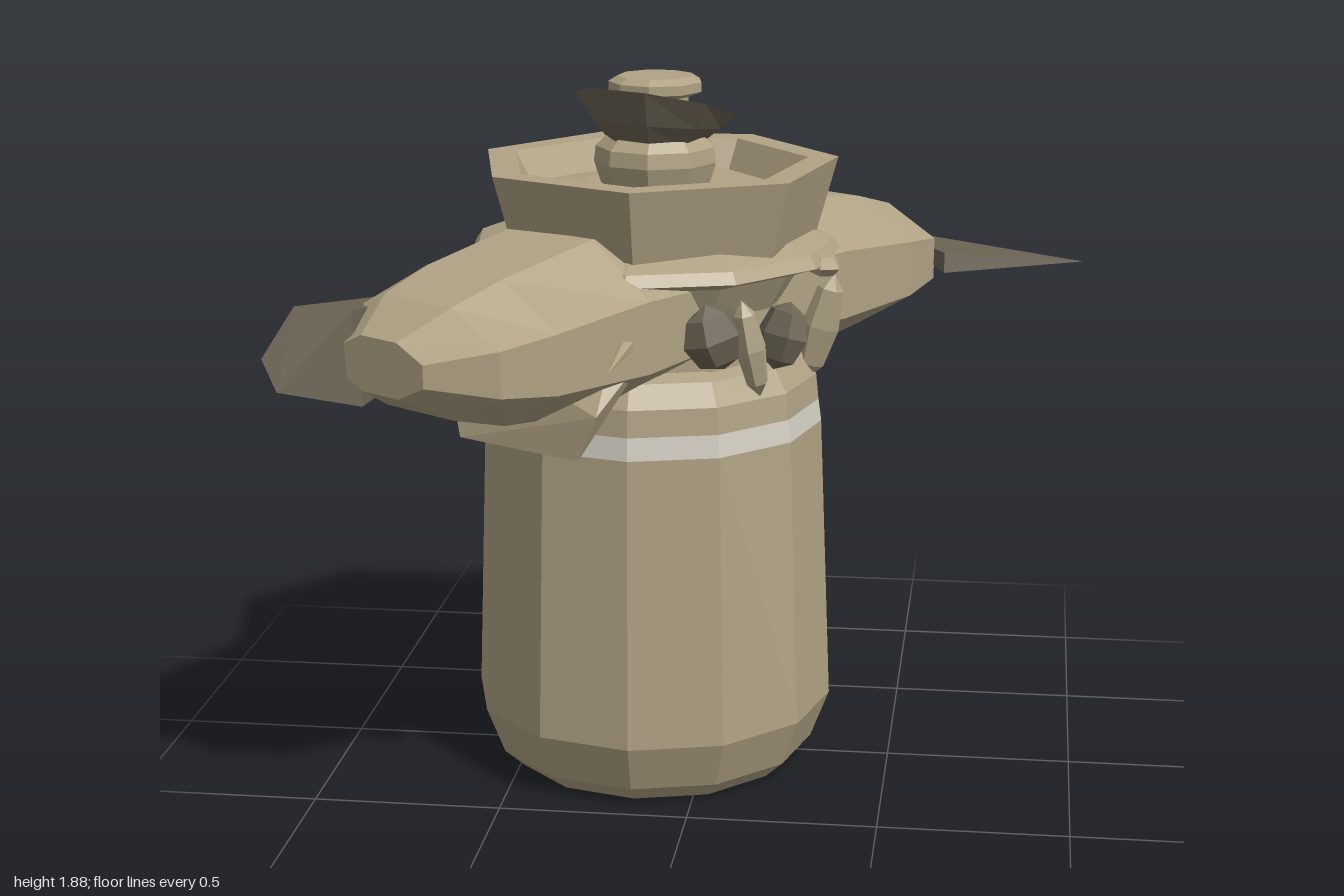
import * as THREE from 'three';
import { ConvexGeometry } from 'three/addons/geometries/ConvexGeometry.js';

const CX = -0.15, CZ = 0.01;

export function createModel() {
  const root = new THREE.Group();
  root.name = 'wrappedJar';

  const clay = new THREE.MeshStandardMaterial({ color: 0xb0a284 });
  clay.name = 'clay beige';
  const pale = new THREE.MeshStandardMaterial({ color: 0xd2cec2 });
  pale.name = 'pale band';
  const dark = new THREE.MeshStandardMaterial({ color: 0x6c6454, side: THREE.DoubleSide });
  dark.name = 'dark cloth';

  // Faceted mesh: split the faces so each gets its own normal
  function add(name, geometry, material, x = 0, y = 0, z = 0) {
    const g = geometry.index ? geometry.toNonIndexed() : geometry;
    g.computeVertexNormals();
    const mesh = new THREE.Mesh(g, material);
    mesh.name = name;
    mesh.position.set(x, y, z);
    root.add(mesh);
    return mesh;
  }
  const lathe = (points, sides) =>
    new THREE.LatheGeometry(points.map(([r, y]) => new THREE.Vector2(r, y)), sides);
  const hull = (points) => new ConvexGeometry(points.map((p) => new THREE.Vector3(...p)));

  // Closed loft along +z through elliptical rings [z, halfWidth, halfHeight, y]
  function loft(rings, sides) {
    const pos = [], idx = [], fit = 1 / Math.cos(Math.PI / sides);
    for (const [z, w, h, y] of rings) {
      for (let i = 0; i < sides; i++) {
        const a = ((i + 0.5) / sides) * Math.PI * 2;
        pos.push(Math.cos(a) * w * fit, y + Math.sin(a) * h * fit, z);
      }
    }
    for (let k = 0; k < rings.length - 1; k++) {
      for (let i = 0; i < sides; i++) {
        const a = k * sides + i, b = k * sides + ((i + 1) % sides);
        idx.push(a, b, b + sides, a, b + sides, a + sides);
      }
    }
    const last = (rings.length - 1) * sides;
    for (let i = 1; i < sides - 1; i++) {
      idx.push(0, i + 1, i, last, last + i, last + i + 1);
    }
    const g = new THREE.BufferGeometry();
    g.setAttribute('position', new THREE.Float32BufferAttribute(pos, 3));
    g.setIndex(idx);
    return g;
  }

  // Jar body, pale band and shoulder
  add('jarBody', lathe([[0, 0], [0.385, 0], [0.44, 0.05], [0.49, 0.18], [0.46, 0.96]], 12), clay, -0.155, 0, CZ);
  add('paleBand', lathe([[0.46, 0.96], [0.452, 1.02]], 12), pale, -0.155, 0, CZ);
  add('shoulder', lathe([[0.452, 1.02], [0.445, 1.09], [0.41, 1.15], [0.34, 1.17]], 12), clay, -0.155, 0, CZ);

  // Cloth wound round the neck
  add('neckWrap', lathe([[0.36, 1.12], [0.36, 1.3], [0.41, 1.39], [0.5, 1.42], [0.48, 1.45], [0.4, 1.48]], 11), clay, CX, 0, CZ);

  // Seven-sided dish with a sunken floor
  add('dish', lathe([[0, 1.46], [0.43, 1.46], [0.487, 1.66], [0.405, 1.66], [0.36, 1.58], [0.2, 1.6], [0, 1.6]], 7), clay, -0.14, 0, CZ);

  // Knob on the dish
  add('knob', lathe([[0.14, 1.58], [0.165, 1.66], [0.16, 1.7], [0.12, 1.74], [0.09, 1.76], [0.09, 1.83],
    [0.125, 1.845], [0.125, 1.87], [0.1, 1.885], [0, 1.885]], 9), clay, -0.14, 0, CZ);

  // Tilted dark ribbon round the knob
  const ribbon = lathe([[0.125, 1.71], [0.17, 1.75], [0.215, 1.8]], 8);
  const rp = ribbon.attributes.position;
  for (let i = 0; i < rp.count; i++) {
    const x = rp.getX(i), z = rp.getZ(i), t = (rp.getY(i) - 1.71) / 0.09;
    rp.setY(i, rp.getY(i) + t * (0.01 + 0.3 * (-0.4 * x + 0.9 * z)));
  }
  add('knobRibbon', ribbon, dark, -0.14, 0, CZ);

  // Two stuffed cloth bundles, opposite each other on a diagonal
  const rings = [[0.05, 0.3, 0.19, 1.3], [0.4, 0.33, 0.225, 1.3], [0.72, 0.315, 0.185, 1.29],
    [0.88, 0.28, 0.14, 1.29], [1.01, 0.15, 0.07, 1.29]];
  const heading = Math.atan2(0.55, -0.835);
  [['backBundle', 0], ['frontBundle', Math.PI]].forEach(([name, turn]) => {
    add(name, loft(rings, 8), clay, -0.14, 0, CZ).rotation.y = heading + turn;
  });

  // Dark fold running along the side of the front bundle to its bulging tip
  add('sideFold', hull([[-1, 1.29, 0.81], [-0.97, 1.34, 0.64], [-0.93, 1.41, 0.75], [-0.78, 1.41, 0.77],
    [-0.95, 1.22, 0.86], [-0.76, 1.17, 0.78], [-0.9, 1.19, 0.6], [-0.87, 1.32, 0.38],
    [-0.74, 1.3, 0.05], [-0.62, 1.28, -0.12], [-0.64, 1.18, 0]]), dark);

  // Thin pointed blade at the end of the back bundle
  add('blade', hull([[0.42, 1.3, -0.935], [1, 1.29, -0.575], [0.61, 1.265, -0.49], [0.61, 1.32, -0.5],
    [0.52, 1.31, -0.72], [0.52, 1.27, -0.72]]), dark);

  // Drape hanging under the front bundle
  add('drape', hull([[-0.25, 1.01, 0.65], [-0.58, 1.02, 0.5], [-0.25, 1.01, 0.42], [-0.6, 1.1, 0.3],
    [-0.2, 1.13, 0.67], [-0.08, 1.28, 0.5], [-0.14, 1.5, 0.4], [-0.65, 1.3, 0.4]]), clay);

  // Spike at the front of the knot
  const spike = add('frontSpike', new THREE.ConeGeometry(0.03, 0.38, 6), clay, -0.14, 1.29, 0.665);
  spike.rotation.x = Math.PI / 2;

  // Loose folds and knots round the neck: position, half sizes, turn and tilt
  const folds = [
    ['sideTail', clay, [0.3, 1.22, 0.01], [0.05, 0.15, 0.04], 0, -0.25],
    ['sideStrap', clay, [0.3, 1.41, 0.06], [0.05, 0.035, 0.14], 0.3, 0],
    ['frontKnot', dark, [0.06, 1.27, 0.37], [0.09, 0.09, 0.06], 0.5, 0.3],
    ['frontTail', clay, [0.15, 1.24, 0.36], [0.04, 0.13, 0.05], 0.4, 0.2],
    ['frontLoop', clay, [-0.12, 1.34, 0.44], [0.05, 0.09, 0.07], 0.2, 0.4],
    ['cornerFold', dark, [0.22, 1.25, 0.25], [0.06, 0.09, 0.08], 0.7, -0.3],
    ['backKnot', clay, [-0.18, 1.4, -0.44], [0.1, 0.05, 0.09], 0.2, 0.1],
    ['backTail', clay, [-0.35, 1.26, -0.34], [0.05, 0.13, 0.05], -0.4, -0.3],
    ['backFold', dark, [-0.44, 1.24, -0.27], [0.08, 0.08, 0.06], 0.5, 0.3],
  ];
  for (const [name, material, p, s, turn, tilt] of folds) {
    const geometry = new THREE.SphereGeometry(1, 6, 4);
    geometry.scale(...s);
    add(name, geometry, material, ...p).rotation.set(0, turn, tilt);
  }

  return root;
}
